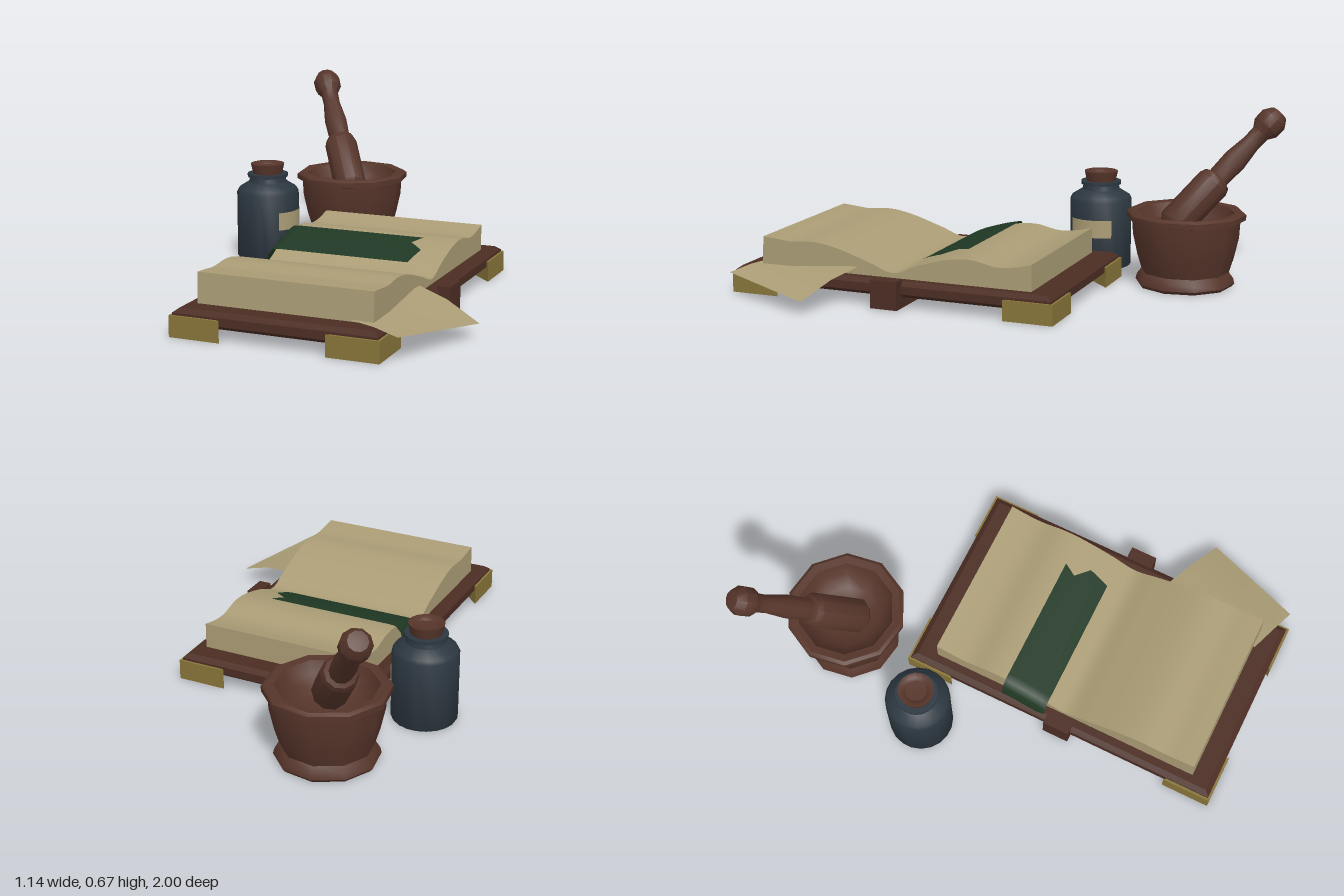
import * as THREE from 'three';
import { toCreasedNormals } from 'three/addons/utils/BufferGeometryUtils.js';

const mat = (name, color, side = THREE.FrontSide) => {
  const m = new THREE.MeshStandardMaterial({ color, side });
  m.name = name;
  return m;
};
const V2 = (x, y) => new THREE.Vector2(x, y);

function add(parent, name, geometry, material) {
  const mesh = new THREE.Mesh(geometry, material);
  mesh.name = name;
  parent.add(mesh);
  return mesh;
}

function lathe(profile, sides, crease = 0.7) {
  const g = new THREE.LatheGeometry(profile.map(p => V2(...p)), sides);
  return toCreasedNormals(g, crease);
}

// Surface through a list of rows, each row holding the same number of points
function sheet(rows) {
  const n = rows[0].length, index = [];
  for (let r = 0; r < rows.length - 1; r++) {
    for (let c = 0; c < n - 1; c++) {
      const a = r * n + c, b = a + n;
      index.push(a, b, a + 1, b, b + 1, a + 1);
    }
  }
  const g = new THREE.BufferGeometry();
  g.setAttribute('position', new THREE.Float32BufferAttribute(rows.flat(2), 3));
  g.setIndex(index);
  g.computeVertexNormals();
  return g;
}

export function createModel() {
  const leather = mat('leatherBrown', 0x4b2d23);
  const wood = mat('woodBrown', 0x56352a, THREE.DoubleSide);
  const paper = mat('parchment', 0xaa9c75, THREE.DoubleSide);
  const brass = mat('brass', 0x88753a);
  const cloth = mat('ribbonGreen', 0x1f3824, THREE.DoubleSide);
  const glass = mat('bottleBlue', 0x2c3740, THREE.DoubleSide);
  const model = new THREE.Group();
  model.name = 'bookAndMortar';

  // Open book, turned slightly on the ground
  const book = new THREE.Group();
  book.name = 'openBook';
  book.position.set(0.025, 0, 0.2975);
  book.rotation.y = -0.159;
  model.add(book);

  // Cover slab with chamfered edges
  const hw = 0.355, hl = 0.613;
  const rect = new THREE.Shape([V2(-hw, -hl), V2(hw, -hl), V2(hw, hl), V2(-hw, hl)]);
  const slab = new THREE.ExtrudeGeometry(rect, {
    depth: 0.03, bevelThickness: 0.015, bevelSize: 0.02, bevelSegments: 1,
  });
  slab.rotateX(-Math.PI / 2).translate(0, 0.055, 0);
  add(book, 'cover', slab, leather);
  add(book, 'spine', new THREE.BoxGeometry(0.8, 0.05, 0.105), leather).position.set(0.01, 0.027, 0);
  for (const s of [-1, 1]) {
    add(book, 'spineEnd', new THREE.BoxGeometry(0.05, 0.105, 0.105), leather)
      .position.set(0.01 + s * 0.378, 0.056, 0);
  }

  // Triangular metal corners
  for (const sx of [-1, 1]) {
    for (const sz of [-1, 1]) {
      const x = sx * 0.384, z = sz * 0.642;
      const tri = new THREE.Shape([V2(x, -z), V2(x - sx * 0.19, -z), V2(x, -z + sz * 0.19)]);
      const g = new THREE.ExtrudeGeometry(tri, { depth: 0.077, bevelEnabled: false });
      add(book, 'cornerGuard', g.rotateX(-Math.PI / 2), brass);
    }
  }

  // Page block: wavy section drawn along the length, extruded across the width
  const wave = new THREE.SplineCurve([
    [-0.54, 0.198], [-0.47, 0.182], [-0.4, 0.178], [-0.31, 0.195], [-0.22, 0.188],
    [-0.1, 0.155], [0, 0.118], [0.1, 0.15], [0.22, 0.188], [0.32, 0.206],
    [0.42, 0.2], [0.49, 0.206], [0.54, 0.21],
  ].map(p => V2(...p))).getPoints(72);
  const pageHeight = z => {
    const i = Math.max(1, wave.findIndex(p => p.x >= z));
    const a = wave[i - 1], b = wave[i];
    return a.y + (b.y - a.y) * (z - a.x) / (b.x - a.x);
  };
  const section = new THREE.Shape([V2(-0.54, 0.095), V2(0.545, 0.095), ...wave.slice().reverse()]);
  const pages = new THREE.ExtrudeGeometry(section, { depth: 0.65, bevelEnabled: false });
  pages.rotateY(-Math.PI / 2).translate(0.325, 0, 0);
  add(book, 'pages', toCreasedNormals(pages, 0.6), paper);

  // Ribbon following the page, swallow-tailed at one end and drooping at the other
  const tail = [[-0.244, 0.2], [-0.195, 0.171], [-0.148, 0.226], [-0.066, 0.205]];
  const ribbonRows = [];
  for (let k = 0; k < tail.length - 1; k++) {
    const [z0, x0] = tail[k], [z1, x1] = tail[k + 1];
    for (let j = k ? 1 : 0; j <= 3; j++) {
      const z = z0 + (z1 - z0) * j / 3, x = x0 + (x1 - x0) * j / 3;
      const h = pageHeight(z) + 0.01;
      ribbonRows.push([
        [-0.362, h - 0.07, z], [-0.352, h - 0.025, z], [-0.33, h - 0.002, z],
        [-0.3, h, z], [x, h, z],
      ]);
    }
  }
  add(book, 'ribbon', sheet(ribbonRows), cloth);

  // Loose leaf slipping out of the side
  add(model, 'looseLeaf', sheet([
    [[0.33, 0.13, 0.49], [0.44, 0.105, 0.555], [0.565, 0.05, 0.63]],
    [[0.18, 0.107, 0.88], [0.27, 0.104, 0.93], [0.36, 0.09, 0.98]],
  ]), paper);

  // Bottle with stopper and label
  const bottle = new THREE.Group();
  bottle.name = 'bottle';
  bottle.position.set(-0.45, 0, -0.28);
  model.add(bottle);
  add(bottle, 'bottleBody', lathe([
    [0, 0], [0.118, 0], [0.123, 0.008], [0.123, 0.268], [0.115, 0.283], [0.075, 0.308],
    [0.07, 0.326], [0.08, 0.328], [0.08, 0.341], [0, 0.341],
  ], 20), glass);
  add(bottle, 'stopper', lathe([
    [0.058, 0.338], [0.067, 0.38], [0.05, 0.378], [0.04, 0.368], [0, 0.366],
  ], 16), wood);
  const label = new THREE.CylinderGeometry(0.126, 0.126, 0.07, 8, 1, true, 0.63, 1.45);
  add(bottle, 'label', label, paper).position.y = 0.165;

  // Mortar, a ten-sided bowl
  const mortar = add(model, 'mortar', lathe([
    [0, 0], [0.18, 0], [0.19, 0.012], [0.185, 0.032], [0.168, 0.055], [0.185, 0.11],
    [0.203, 0.19], [0.207, 0.255], [0.228, 0.26], [0.228, 0.28], [0.215, 0.289],
    [0.185, 0.285], [0.165, 0.24], [0.12, 0.195], [0.06, 0.18], [0, 0.178],
  ], 10), wood);
  mortar.position.set(-0.195, 0, -0.652);

  // Pestle leaning over the back of the rim
  const pestle = add(model, 'pestle', lathe([
    [0, 0], [0.05, 0], [0.067, 0.02], [0.067, 0.235], [0.058, 0.258], [0.043, 0.265],
    [0.046, 0.36], [0.035, 0.45], [0.036, 0.5], [0.055, 0.53], [0.056, 0.575],
    [0.036, 0.607], [0, 0.612],
  ], 10), wood);
  pestle.position.set(-0.185, 0.219, -0.596);
  pestle.quaternion.setFromUnitVectors(
    new THREE.Vector3(0, 1, 0), new THREE.Vector3(-0.348, 0.695, -0.629).normalize());

  return model;
}
